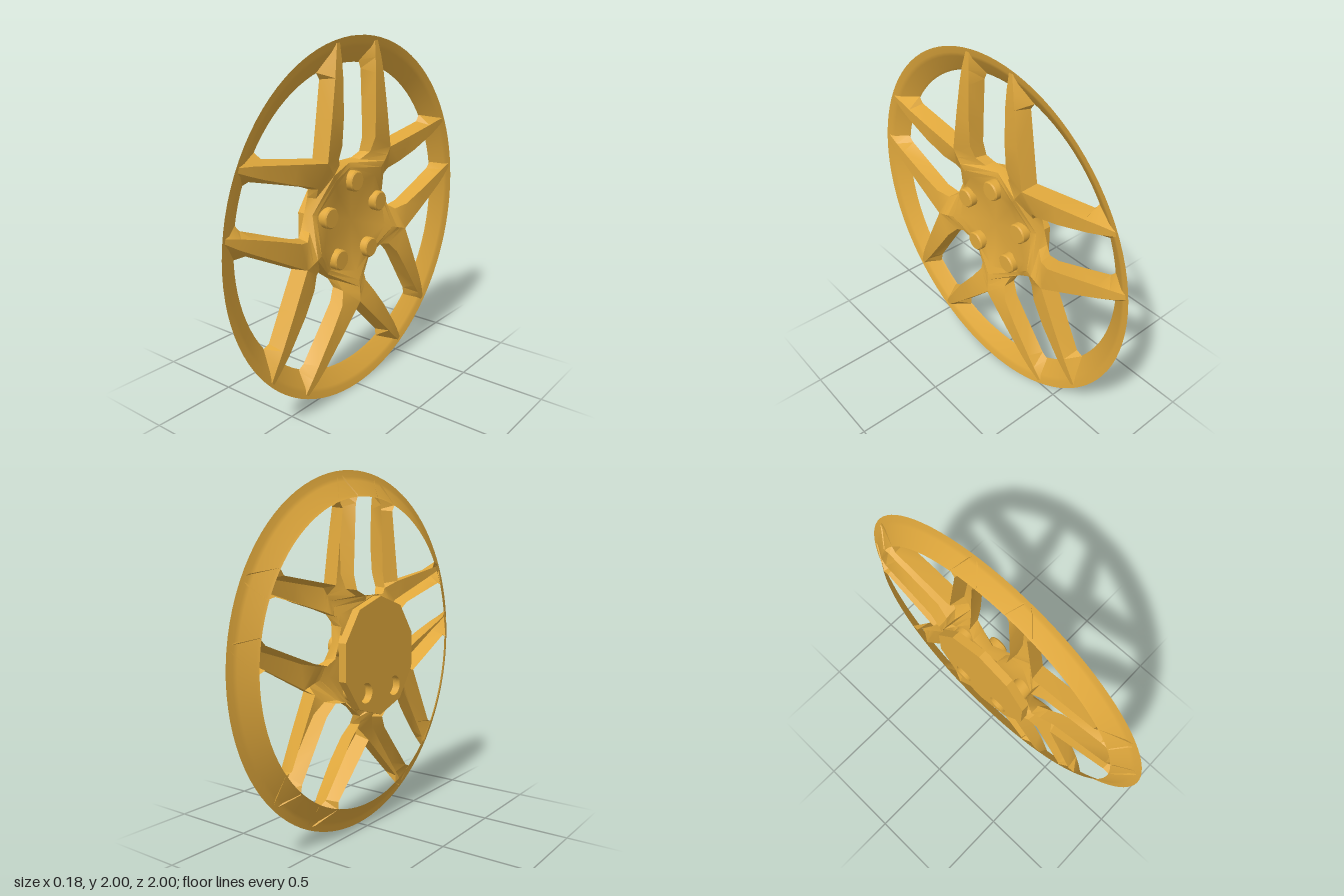
import * as THREE from 'three';
import { mergeGeometries, toCreasedNormals } from 'three/addons/utils/BufferGeometryUtils.js';

const material = new THREE.MeshStandardMaterial({ color: 0xe0a83c, side: THREE.DoubleSide });
const FIFTH = (Math.PI * 2) / 5;

function addMesh(parent, name, geometry) {
  const mesh = new THREE.Mesh(geometry, material);
  mesh.name = name;
  parent.add(mesh);
  return mesh;
}

// Point on the centre line of a forked spoke, 36 degrees from the slot axis
const stem = (r, x) => [r * Math.cos(FIFTH / 2), r * Math.sin(FIFTH / 2), x];

// Cross-sections of half a forked spoke, from the hub centre to the rim.
// Each: slot back edge, slot front edge, fork front edge, fork back edge,
// as [radial, sideways, depth].
const sections = [
  [[0, 0, 0.02], [0, 0, 0.02], stem(0, 0.02), stem(0, 0.02)],
  [[0.2, 0, 0.018], [0.2, 0, 0.018], stem(0.2, 0.025), stem(0.2, 0.025)],
  [[0.3, 0, 0.014], [0.3, 0, 0.014], stem(0.29, 0.055), stem(0.29, 0.055)],
  [[0.335, 0, -0.045], [0.325, 0, 0.005], stem(0.34, 0.077), stem(0.34, 0.077)],
  [[0.335, 0.085, -0.045], [0.33, 0.09, 0.012], stem(0.38, 0.084), stem(0.38, 0.084)],
  [[0.365, 0.13, -0.025], [0.37, 0.138, 0.045], stem(0.42, 0.086), stem(0.42, 0.086)],
  [[0.45, 0.135, -0.008], [0.45, 0.145, 0.074], stem(0.47, 0.086), stem(0.49, -0.008)],
  [[0.6, 0.128, -0.008], [0.6, 0.14, 0.081], [0.6, 0.24, 0.085], [0.6, 0.257, -0.008]],
  [[0.82, 0.116, -0.008], [0.8, 0.14, 0.077], [0.8, 0.207, 0.08], [0.79, 0.228, -0.008]],
  [[0.865, 0.09, -0.004], [0.88, 0.143, 0.072], [0.88, 0.193, 0.074], [0.825, 0.255, -0.005]],
  [[0.95, 0.13, 0.051], [0.968, 0.148, 0.063], [0.968, 0.172, 0.064], [0.95, 0.19, 0.052]],
];

// Skin the sections; side = -1 gives the mirrored half
function halfSpoke(side) {
  const positions = [];
  const triangle = (...points) => {
    if (side < 0) points.reverse();
    const [a, b, c] = points.map(([s, t, x]) => new THREE.Vector3(x, s, t * side));
    const area = b.clone().sub(a).cross(c.clone().sub(a)).length();
    if (area > 1e-8) [a, b, c].forEach((p) => positions.push(p.x, p.y, p.z));
  };
  for (let i = 0; i < sections.length - 1; i++) {
    for (let j = 0; j < 3; j++) {
      const a = sections[i][j], b = sections[i + 1][j];
      const c = sections[i + 1][j + 1], d = sections[i][j + 1];
      triangle(a, b, c);
      triangle(a, c, d);
    }
  }
  const geometry = new THREE.BufferGeometry();
  geometry.setAttribute('position', new THREE.Float32BufferAttribute(positions, 3));
  return geometry;
}

export function createModel() {
  const wheel = new THREE.Group();
  wheel.name = 'wheel';
  wheel.position.y = 1;

  // Thin dished rim
  const rimProfile = [[0.86, -0.008], [0.872, 0.002], [0.945, 0.05], [0.965, 0.058], [1, 0.066]];
  const rim = new THREE.LatheGeometry(rimProfile.map(([r, x]) => new THREE.Vector2(r, x)), 96);
  addMesh(wheel, 'rim', rim.rotateZ(-Math.PI / 2));

  // Five forked spokes running into the dished hub face, open at the back
  const halves = [];
  for (let k = 0; k < 5; k++) {
    for (const side of [1, -1]) halves.push(halfSpoke(side).rotateX(k * FIFTH));
  }
  addMesh(wheel, 'spokesAndHubFace', toCreasedNormals(mergeGeometries(halves), 0.6));

  // Ten-sided mounting pad with bolt holes behind the hub
  const corners = [];
  for (let k = 0; k < 10; k++) {
    const a = (k * FIFTH) / 2;
    corners.push(new THREE.Vector2(Math.sin(a) * 0.33, Math.cos(a) * 0.33));
  }
  const padShape = new THREE.Shape(corners);
  for (let k = 0; k < 5; k++) {
    const a = k * FIFTH;
    const hole = new THREE.Path();
    hole.absarc(Math.sin(a) * 0.23, Math.cos(a) * 0.23, 0.056, 0, Math.PI * 2, true);
    padShape.holes.push(hole);
  }
  const pad = new THREE.ExtrudeGeometry(padShape, { depth: 0.047, bevelEnabled: false, curveSegments: 24 });
  addMesh(wheel, 'mountingPad', pad.rotateY(Math.PI / 2).translate(-0.09, 0, 0));

  // Wheel bolts
  const boltProfile = [[0, -0.045], [0.057, -0.045], [0.057, 0.058], [0.05, 0.065], [0, 0.065]];
  const boltLathe = new THREE.LatheGeometry(boltProfile.map(([r, x]) => new THREE.Vector2(r, x)), 32);
  const bolt = toCreasedNormals(boltLathe.rotateZ(-Math.PI / 2), 0.5);
  for (let k = 0; k < 5; k++) {
    const a = k * FIFTH;
    addMesh(wheel, 'bolt', bolt).position.set(0, Math.cos(a) * 0.23, Math.sin(a) * 0.23);
  }

  const model = new THREE.Group();
  model.name = 'spokedWheel';
  model.add(wheel);
  return model;
}
